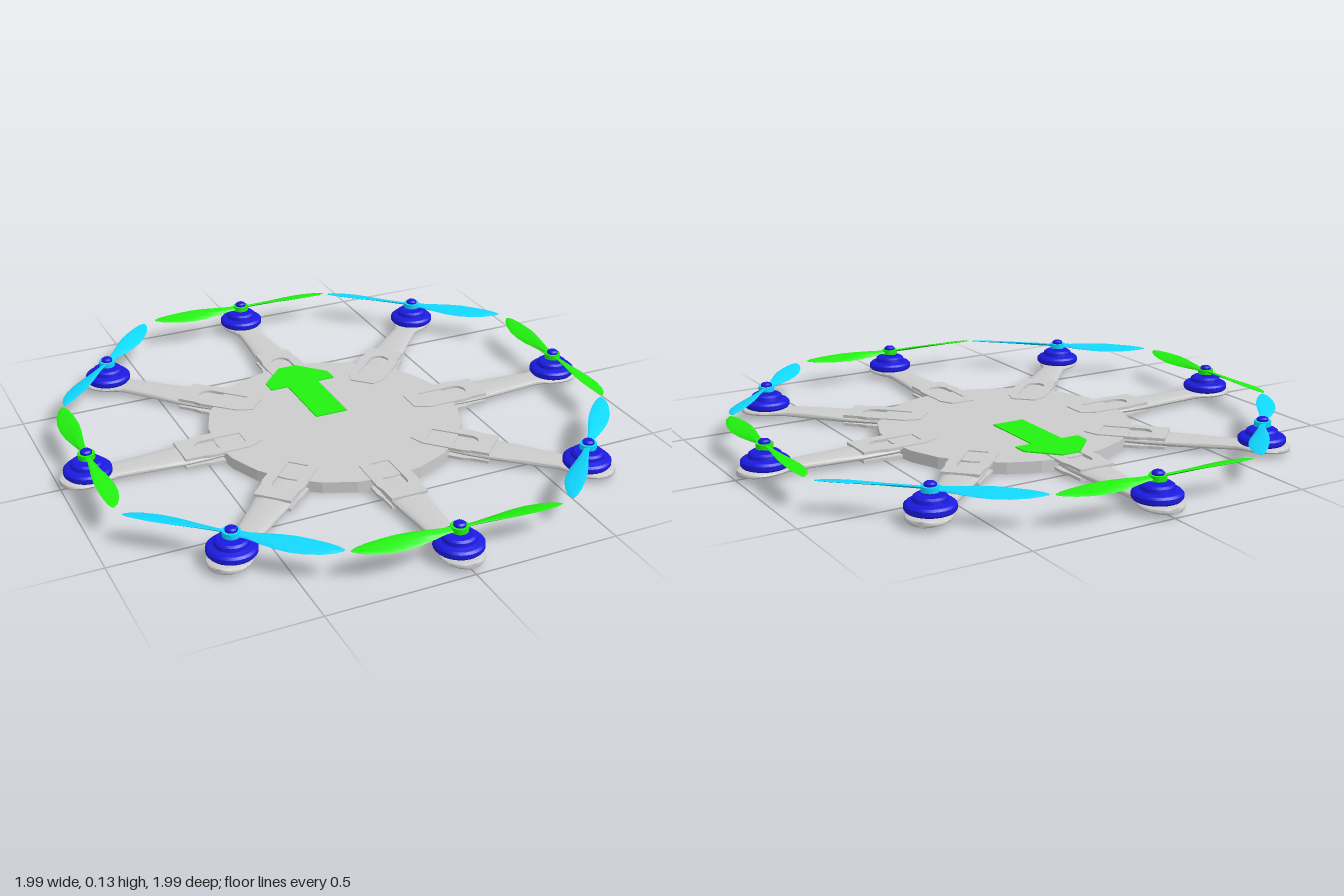
import * as THREE from 'three';
import { toCreasedNormals } from 'three/addons/utils/BufferGeometryUtils.js';

const mat = (color, flatShading = false) => new THREE.MeshStandardMaterial({ color, flatShading });
const grey = mat(0xcccccc);
const blue = mat(0x1a1ae0);
const green = mat(0x22f010);
const cyan = mat(0x10d8ff);

function add(parent, name, geometry, material, y = 0) {
  const mesh = new THREE.Mesh(geometry, material);
  mesh.name = name;
  mesh.position.y = y;
  parent.add(mesh);
  return mesh;
}

// Skins a list of rings (each a list of [x, y, z]) and closes both ends.
function loft(rings, crease) {
  const n = rings[0].length, last = rings.length - 1;
  const points = rings.flat();
  const index = [];
  for (let i = 0; i < last; i++) {
    for (let j = 0; j < n; j++) {
      const a = i * n + j, b = i * n + (j + 1) % n;
      index.push(a, b, b + n, a, b + n, a + n);
    }
  }
  for (let j = 1; j < n - 1; j++) {
    index.push(0, j + 1, j, last * n, last * n + j, last * n + j + 1);
  }
  const g = new THREE.BufferGeometry();
  g.setAttribute('position', new THREE.Float32BufferAttribute(points.flat(), 3));
  g.setIndex(index);
  return toCreasedNormals(g, crease);
}

// Tapered arm with a rounded foot under the motor; sections are [x, half width, half height]
function armGeometry() {
  const sections = [
    [0.32, 0.05, 0.011], [0.5, 0.062, 0.013], [0.58, 0.062, 0.014], [0.7, 0.052, 0.014],
    [0.81, 0.044, 0.013], [0.84, 0.05, 0.012], [0.87, 0.064, 0.012], [0.9, 0.071, 0.012],
    [0.93, 0.072, 0.012], [0.96, 0.063, 0.012], [0.98, 0.046, 0.012], [0.99, 0.031, 0.011],
    [0.996, 0.012, 0.01],
  ];
  const sides = 20;
  return loft(sections.map(([x, w, h]) => Array.from({ length: sides }, (_, j) => {
    const a = (j / sides) * Math.PI * 2, c = Math.cos(a), s = Math.sin(a);
    const squash = (v) => Math.sign(v) * Math.abs(v) ** 0.75;
    return [x, 0.023 + h * squash(c), w * squash(s)];
  })), 0.7);
}

// One twisted blade; sections are [x, back edge, front edge, slope, half thickness]
function bladeGeometry(hand) {
  const sections = [
    [0.0, -0.012, 0.012, 0.3, 0.005], [0.05, -0.012, 0.011, 0.35, 0.005],
    [0.1, -0.021, 0.019, 0.35, 0.005], [0.15, -0.03, 0.028, 0.3, 0.004],
    [0.2, -0.034, 0.034, 0.25, 0.004], [0.25, -0.031, 0.035, 0.2, 0.003],
    [0.3, -0.019, 0.033, 0.17, 0.003], [0.335, -0.004, 0.028, 0.14, 0.002],
    [0.354, 0.013, 0.021, 0.1, 0.001],
  ];
  const sides = 12;
  return loft(sections.map(([x, back, front, slope, t]) => {
    const ring = Array.from({ length: sides }, (_, j) => {
      const a = (j / sides) * Math.PI * 2;
      const z = (back + front) / 2 + ((front - back) / 2) * Math.sin(a);
      return [x, z * slope + t * Math.cos(a), z * hand];
    });
    return hand > 0 ? ring : ring.reverse();
  }), 0.9);
}

// Clamp plate with chamfered inner end and a rounded slot
function plateGeometry() {
  const shape = new THREE.Shape([
    [0.295, -0.045], [0.345, -0.07], [0.49, -0.073], [0.52, -0.066], [0.58, -0.065],
    [0.58, 0.065], [0.52, 0.066], [0.49, 0.073], [0.345, 0.07], [0.295, 0.045],
  ].map(([x, y]) => new THREE.Vector2(x, y)));
  const slot = new THREE.Path();
  slot.absarc(0.49, 0, 0.035, -Math.PI / 2, Math.PI / 2, false);
  slot.lineTo(0.35, 0.035);
  slot.lineTo(0.35, -0.035);
  slot.closePath();
  shape.holes.push(slot);
  return new THREE.ExtrudeGeometry(shape, { depth: 0.01, bevelEnabled: false, curveSegments: 10 })
    .rotateX(-Math.PI / 2);
}

function lathe(profile, segments = 28) {
  const g = new THREE.LatheGeometry(profile.map(([r, y]) => new THREE.Vector2(r, y)), segments);
  return toCreasedNormals(g, 0.5);
}

function arrowGeometry() {
  const shape = new THREE.Shape([
    [-0.06, 0.025], [0.06, 0.025], [0.06, 0.28], [0.125, 0.28], [0.125, 0.335],
    [0.035, 0.43], [-0.035, 0.43], [-0.125, 0.335], [-0.125, 0.28], [-0.06, 0.28],
  ].map(([x, y]) => new THREE.Vector2(x, y)));
  return new THREE.ExtrudeGeometry(shape, { depth: 0.004, bevelEnabled: false })
    .rotateX(-Math.PI / 2);
}

export function createModel() {
  const model = new THREE.Group();
  model.name = 'octocopter';
  const frame = new THREE.Group();
  frame.name = 'frame';
  frame.position.set(-0.002, 0, -0.008);
  model.add(frame);

  // Central body and heading arrow
  add(frame, 'bodyDisc', new THREE.CylinderGeometry(0.448, 0.448, 0.04, 24), mat(0xcccccc, true), 0.02);
  add(frame, 'headingArrow', arrowGeometry(), green, 0.044);

  // Shared geometry for the eight arms
  const arm = armGeometry();
  const plate = plateGeometry();
  const motor = lathe([
    [0, 0.03], [0.06, 0.03], [0.076, 0.036], [0.081, 0.042], [0.081, 0.056], [0.074, 0.063],
    [0.056, 0.068], [0.054, 0.08], [0.046, 0.086], [0.016, 0.087], [0.016, 0.098], [0, 0.098],
  ]);
  const hub = lathe([[0, 0.095], [0.029, 0.095], [0.029, 0.113], [0, 0.113]], 20);
  const spinner = lathe([[0, 0.112], [0.02, 0.112], [0.02, 0.12], [0.014, 0.125], [0, 0.126]], 16);
  const blades = { 1: bladeGeometry(1), [-1]: bladeGeometry(-1) };

  for (let k = 0; k < 8; k++) {
    const hand = k % 2 ? -1 : 1;
    const color = k % 2 ? cyan : green;
    const unit = new THREE.Group();
    unit.name = 'armUnit';
    unit.rotation.y = (k * Math.PI) / 4;
    frame.add(unit);

    add(unit, 'arm', arm, grey);
    add(unit, 'upperClampPlate', plate, grey, 0.034);
    add(unit, 'lowerClampPlate', plate, grey, 0.004);

    const rotor = new THREE.Group();
    rotor.name = 'rotor';
    rotor.position.x = 0.9;
    unit.add(rotor);
    add(rotor, 'motor', motor, blue);
    add(rotor, 'spinner', spinner, blue);

    // Two blades, set along the tangent; neighbours spin opposite ways
    const propeller = new THREE.Group();
    propeller.name = 'propeller';
    propeller.rotation.y = Math.PI / 2 + (hand < 0 ? 0.02 : 0);
    rotor.add(propeller);
    add(propeller, 'propellerHub', hub, color);
    for (const turn of [0, Math.PI]) {
      add(propeller, 'blade', blades[hand], color, 0.105).rotation.y = turn;
    }
  }
  return model;
}
